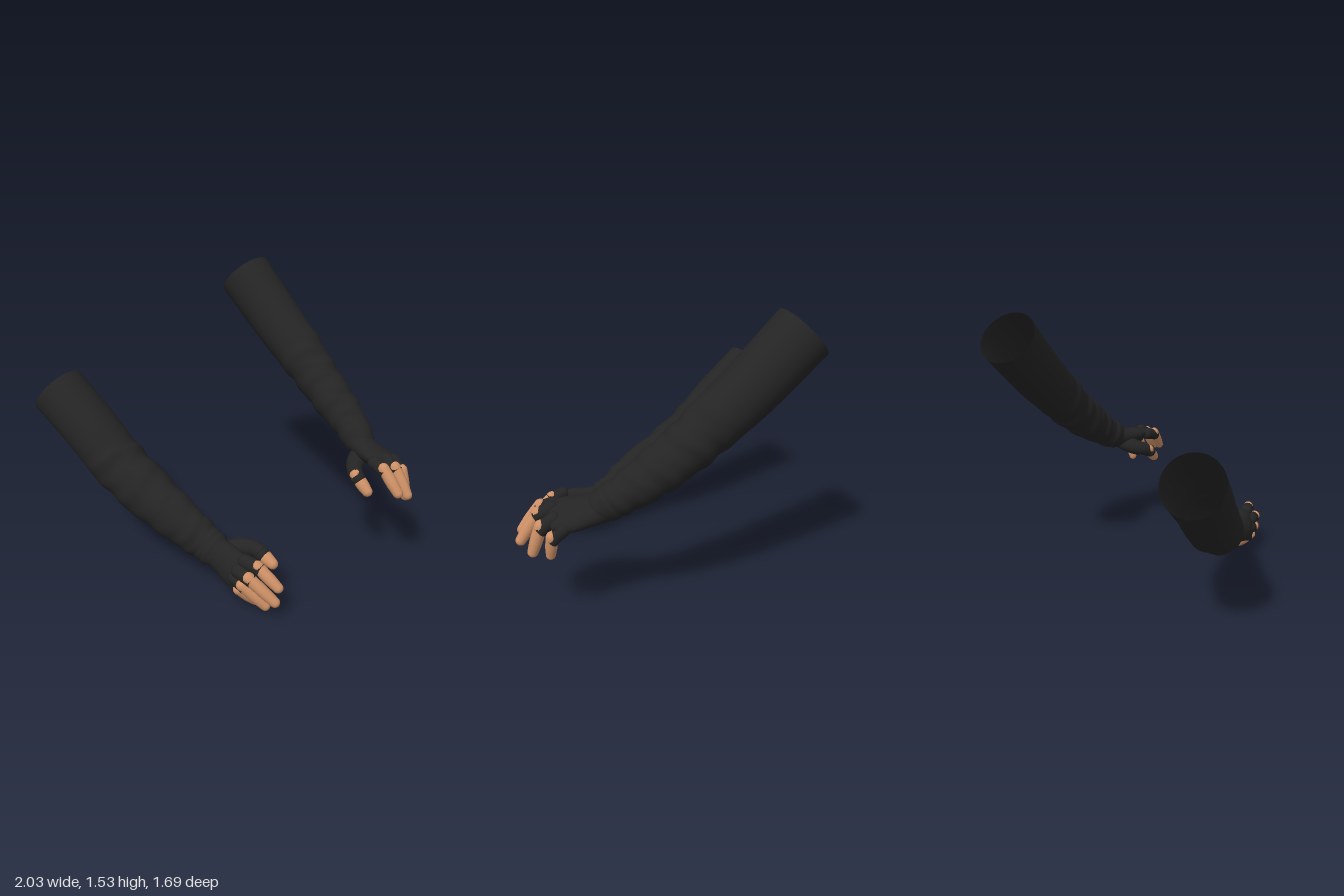
import * as THREE from 'three';

const fabric = new THREE.MeshStandardMaterial({ color: 0x242424, side: THREE.DoubleSide });
fabric.name = 'black fabric';
const skin = new THREE.MeshStandardMaterial({ color: 0xcd9066 });
skin.name = 'skin';

const smooth = (a, b, t) => THREE.MathUtils.smoothstep(t, a, b);

// Loft of elliptical rings; stations are [x, y, z, wideRadius, thinRadius].
function loft(name, material, stations, wideAxis, { rings = 12, sides = 20, capStart = true, capEnd = true, relief } = {}) {
  const centre = new THREE.CatmullRomCurve3(stations.map(s => new THREE.Vector3(s[0], s[1], s[2])));
  const radii = new THREE.CatmullRomCurve3(
    stations.map(s => new THREE.Vector3(s[3], s[4] ?? s[3], 0)), false, 'catmullrom', 0.5);
  const rows = [];
  const capSteps = 6;
  if (capStart) for (let k = capSteps; k > 0; k--) rows.push([0, -k / capSteps]);
  for (let i = 0; i <= rings; i++) rows.push([i / rings, 0]);
  if (capEnd) for (let k = 1; k <= capSteps; k++) rows.push([1, k / capSteps]);

  const position = [], index = [];
  rows.forEach(([t, cap], i) => {
    const p = centre.getPoint(t), T = centre.getTangent(t), r = radii.getPoint(t);
    const A = wideAxis.clone().addScaledVector(T, -wideAxis.dot(T)).normalize();
    const B = new THREE.Vector3().crossVectors(T, A);
    const phi = cap * Math.PI / 2;
    const shrink = Math.max(Math.cos(phi), 0.001);
    p.addScaledVector(T, Math.sin(phi) * r.y);
    for (let j = 0; j < sides; j++) {
      const a = j / sides * Math.PI * 2;
      const k = shrink * (relief ? relief(t, a) : 1);
      const v = p.clone().addScaledVector(A, Math.cos(a) * r.x * k).addScaledVector(B, Math.sin(a) * r.y * k);
      position.push(v.x, v.y, v.z);
      if (i < rows.length - 1) {
        const n = (j + 1) % sides, q = i * sides, u = q + sides;
        index.push(q + j, q + n, u + j, q + n, u + n, u + j);
      }
    }
  });
  const g = new THREE.BufferGeometry();
  g.setAttribute('position', new THREE.Float32BufferAttribute(position, 3));
  g.setIndex(index);
  g.computeVertexNormals();
  const mesh = new THREE.Mesh(g, material);
  mesh.name = name;
  return mesh;
}

// Soft cloth folds, growing from the elbow towards the wrist.
const folds = phase => (t, a) => {
  const amount = smooth(0.22, 0.4, t) * 0.03;
  const elbow = 0.035 * Math.exp(-(((t - 0.32 - 0.03 * Math.cos(a + phase)) / 0.025) ** 2));
  return 1 + elbow * (0.5 + 0.5 * Math.sin(a + phase))
    + amount * Math.sin(t * 42 + 1.6 * Math.sin(a + phase))
    + amount * 0.6 * Math.sin(t * 71 + 2 * Math.cos(a * 2 + phase));
};

// A glove stub and a bare, round-tipped finger.
function addFinger(group, name, knuckle, start, tip, axis, r) {
  const k = new THREE.Vector3(...knuckle), s = new THREE.Vector3(...start), e = new THREE.Vector3(...tip);
  const dir = e.clone().sub(s).normalize();
  e.addScaledVector(dir, -r * 0.8);
  const cuff = s.clone().addScaledVector(dir, 0.008);
  const under = s.clone().addScaledVector(dir, -0.02);
  group.add(loft(name + 'Glove', fabric,
    [[...k, r * 1.2], [...k.clone().lerp(s, 0.6), r * 1.15], [...cuff, r * 1.12]], axis, { capEnd: false, sides: 14 }));
  group.add(loft(name, skin,
    [[...under, r], [...s.clone().lerp(e, 0.5), r * 1.02], [...e, r * 0.86]], axis, { sides: 14 }));
}

function buildArm(spec) {
  const arm = new THREE.Group();
  arm.name = spec.name;
  const armAxis = new THREE.Vector3(...spec.armAxis), palmAxis = new THREE.Vector3(...spec.palmAxis);

  // Sleeve, open at the shoulder
  arm.add(loft('sleeve', fabric, spec.sleeve, armAxis,
    { rings: 90, sides: 40, capStart: false, relief: folds(spec.phase) }));

  // Gathered cuff at the wrist
  const [a, b] = spec.sleeve.slice(-2);
  const mid = a.map((v, i) => (v + b[i]) / 2);
  const wider = (s, k) => [s[0], s[1], s[2], s[3] * k, s[4] * k];
  arm.add(loft('cuff', fabric, [wider(mid, 0.98), wider(mid.map((v, i) => (v + b[i]) / 2), 1.07), wider(b, 1.03)],
    armAxis, { capStart: false, capEnd: false, sides: 32 }));

  // Fingerless glove and fingers
  const hand = new THREE.Group();
  hand.name = 'hand';
  hand.add(loft('palm', fabric, spec.palm, palmAxis, { rings: 20, sides: 28 }));
  hand.add(loft('thumbGlove', fabric, spec.thumb, palmAxis, { rings: 16, sides: 16, capEnd: false }));
  const root = spec.thumb[spec.thumb.length - 1].slice(0, 3);
  addFinger(hand, 'thumb', root, root, spec.thumbTip, palmAxis, 0.034);
  ['index', 'middle', 'ring', 'little'].forEach((n, i) =>
    addFinger(hand, n + 'Finger', ...spec.fingers[i], palmAxis, i === 3 ? 0.028 : 0.031));
  arm.add(hand);
  return arm;
}

export function createModel() {
  const model = new THREE.Group();
  model.name = 'sleevedArms';

  model.add(buildArm({
    name: 'rightArm', phase: 0.6, armAxis: [0.4, 0.9, 0.1], palmAxis: [0.06, 0.15, 0.02],
    sleeve: [
      [-0.895, 0.88, -0.18, 0.158, 0.156], [-0.7, 0.69, -0.02, 0.153, 0.15], [-0.56, 0.54, 0.09, 0.15, 0.145],
      [-0.4, 0.42, 0.22, 0.147, 0.13], [-0.22, 0.315, 0.375, 0.122, 0.102],
      [-0.11, 0.245, 0.45, 0.105, 0.085], [-0.045, 0.21, 0.505, 0.092, 0.074]],
    palm: [[-0.07, 0.215, 0.48, 0.082, 0.062], [-0.005, 0.2, 0.56, 0.09, 0.06],
      [0.03, 0.195, 0.63, 0.098, 0.058], [0.055, 0.195, 0.675, 0.094, 0.045]],
    thumb: [[-0.01, 0.21, 0.505, 0.052], [0.08, 0.235, 0.51, 0.05], [0.15, 0.248, 0.55, 0.042], [0.185, 0.237, 0.585, 0.038]],
    thumbTip: [0.25, 0.195, 0.65],
    fingers: [
      [[0.085, 0.265, 0.69], [0.155, 0.25, 0.745], [0.255, 0.16, 0.81]],
      [[0.05, 0.22, 0.705], [0.11, 0.2, 0.765], [0.24, 0.085, 0.82]],
      [[0.035, 0.17, 0.685], [0.08, 0.145, 0.74], [0.2, 0.03, 0.765]],
      [[0.025, 0.125, 0.65], [0.065, 0.1, 0.705], [0.155, 0.01, 0.68]]]
  }));

  model.add(buildArm({
    name: 'leftArm', phase: 2.4, armAxis: [0.8, 0.5, 0], palmAxis: [-0.15, 0.06, 0.1],
    sleeve: [
      [0.215, 1.41, -0.72, 0.158, 0.158], [0.41, 1.145, -0.5, 0.147, 0.147], [0.515, 1.01, -0.37, 0.138, 0.138],
      [0.6, 0.895, -0.26, 0.125, 0.128], [0.68, 0.79, -0.14, 0.115, 0.118],
      [0.745, 0.705, -0.03, 0.1, 0.1], [0.785, 0.635, 0.075, 0.083, 0.083]],
    palm: [[0.785, 0.625, 0.08, 0.08, 0.068], [0.815, 0.605, 0.15, 0.095, 0.06],
      [0.855, 0.595, 0.22, 0.11, 0.055], [0.885, 0.595, 0.28, 0.105, 0.044]],
    thumb: [[0.79, 0.59, 0.13, 0.052], [0.74, 0.555, 0.2, 0.05], [0.722, 0.535, 0.265, 0.042], [0.73, 0.515, 0.31, 0.038]],
    thumbTip: [0.785, 0.44, 0.375],
    fingers: [
      [[0.81, 0.61, 0.325], [0.85, 0.59, 0.4], [0.918, 0.475, 0.47]],
      [[0.875, 0.62, 0.31], [0.915, 0.585, 0.375], [0.975, 0.45, 0.445]],
      [[0.925, 0.595, 0.27], [0.963, 0.545, 0.33], [0.985, 0.405, 0.37]],
      [[0.945, 0.555, 0.215], [0.97, 0.505, 0.265], [0.955, 0.395, 0.285]]]
  }));
  return model;
}
